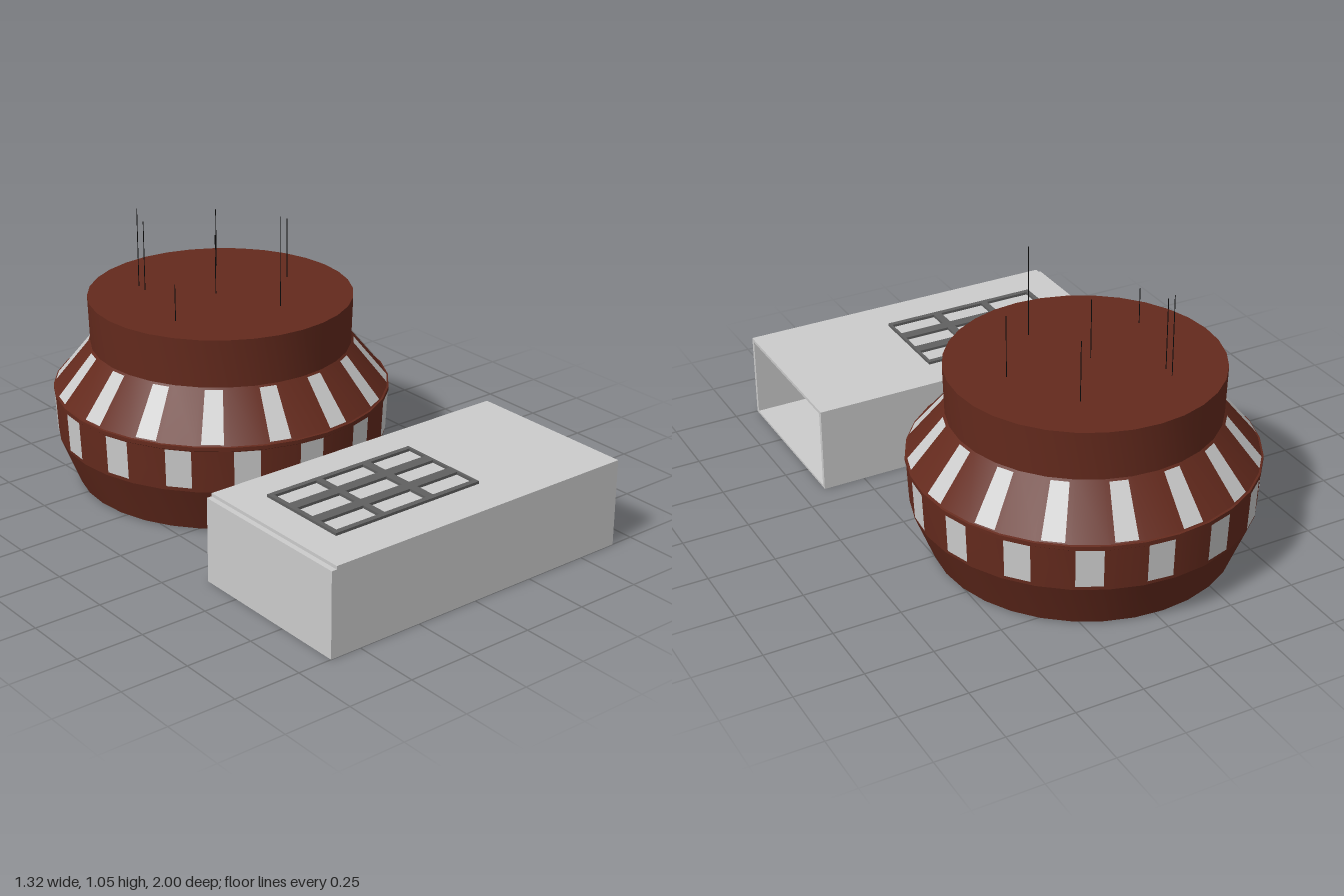
import * as THREE from 'three';
import { toCreasedNormals } from 'three/addons/utils/BufferGeometryUtils.js';

const grey = new THREE.MeshStandardMaterial({ color: 0xcccccc });
const pane = new THREE.MeshStandardMaterial({ color: 0xcccccc, side: THREE.DoubleSide });
const brown = new THREE.MeshStandardMaterial({ color: 0x642a1d });
const dark = new THREE.MeshStandardMaterial({ color: 0x606060 });
const black = new THREE.MeshStandardMaterial({ color: 0x0a0a0a });

const CX = -0.03, CZ = -0.375, SIDES = 32;

function add(parent, name, geometry, material, x = 0, y = 0, z = 0) {
  const mesh = new THREE.Mesh(geometry, material);
  mesh.name = name;
  mesh.position.set(x, y, z);
  parent.add(mesh);
  return mesh;
}

// Box given by its limits on each axis
function block(parent, name, material, [x0, x1], [y0, y1], [z0, z1]) {
  add(parent, name, new THREE.BoxGeometry(x1 - x0, y1 - y0, z1 - z0), material,
    (x0 + x1) / 2, (y0 + y1) / 2, (z0 + z1) / 2);
}

const points = (list) => list.map(([r, y]) => new THREE.Vector2(r, y));

// Ring of 16 flat panes, each lying on one facet of the round hall
function windowRing(parent, name, profile, width, phase) {
  const step = (Math.PI * 2) / 16;
  for (let i = 0; i < 16; i++) {
    const mid = phase + i * step;
    const g = new THREE.LatheGeometry(points(profile), 1, mid - width / 2, width);
    add(parent, name, toCreasedNormals(g, 0.05), pane);
  }
}

function rect(path, x0, x1, y0, y1) {
  path.moveTo(x0, y0);
  path.lineTo(x1, y0);
  path.lineTo(x1, y1);
  path.lineTo(x0, y1);
  path.closePath();
  return path;
}

function roundHall() {
  const hall = new THREE.Group();
  hall.name = 'roundHall';
  hall.position.set(CX, 0, CZ);

  // Bowl, rim, sloping roof and drum in one profile
  const body = new THREE.LatheGeometry(points([
    [0, 0.008], [0.545, 0.008], [0.615, 0.185], [0.623, 0.345], [0.627, 0.348],
    [0.627, 0.362], [0.62, 0.364], [0.485, 0.53], [0.491, 0.71], [0, 0.71],
  ]), SIDES);
  add(hall, 'hallBody', toCreasedNormals(body, 0.3), brown);

  const facet = Math.PI / SIDES;
  windowRing(hall, 'roofWindow', [[0.619, 0.37], [0.493, 0.525]], 0.129, facet);
  windowRing(hall, 'wallWindow', [[0.618, 0.2], [0.625, 0.345]], 0.152, -facet);

  // Thin masts on the flat roof: x, z, top
  const masts = [
    [-0.335, -0.23, 0.847], [-0.24, -0.56, 0.976], [-0.233, -0.61, 1.012], [-0.055, -0.37, 0.935],
    [0.051, -0.12, 1.05], [0.127, -0.615, 0.935], [0.262, -0.35, 0.94],
  ];
  for (const [x, z, top] of masts) {
    const h = top - 0.7;
    add(hall, 'mast', new THREE.CylinderGeometry(0.0015, 0.0015, h, 6), black, x - CX, 0.7 + h / 2, z - CZ);
  }
  return hall;
}

function annex() {
  const wing = new THREE.Group();
  wing.name = 'annex';
  const X = [-0.6, 0.66];

  // Shell, open at the left end
  block(wing, 'floor', grey, X, [0.003, 0.012], [0.34, 1]);
  block(wing, 'roof', grey, X, [0.318, 0.33], [0.34, 1]);
  block(wing, 'frontWall', grey, X, [0.012, 0.318], [0.984, 1]);
  block(wing, 'backWall', grey, X, [0.012, 0.318], [0.34, 0.356]);
  block(wing, 'endWall', grey, [-0.62, -0.6], [0.003, 0.318], [0.34, 1]);

  // Dark skirting inside
  block(wing, 'backSkirting', dark, [-0.6, 0.655], [0.012, 0.03], [0.356, 0.362]);
  block(wing, 'endSkirting', dark, [-0.6, -0.594], [0.012, 0.03], [0.362, 0.984]);

  // Skylight grid, 3 x 3 panes, set through the roof
  const grid = rect(new THREE.Shape(), -0.472, 0.152, -0.84, -0.478);
  for (const x of [-0.455, -0.25, -0.038]) {
    for (const z of [0.497, 0.619, 0.741]) {
      grid.holes.push(rect(new THREE.Path(), x, x + 0.18, -z - 0.079, -z));
    }
  }
  const frame = new THREE.ExtrudeGeometry(grid, { depth: 0.03, bevelEnabled: false });
  frame.rotateX(-Math.PI / 2);
  add(wing, 'skylightFrame', frame, dark, 0, 0.31, 0);

  // Passage to the round hall
  block(wing, 'passage', grey, [-0.197, 0.112], [0.003, 0.14], [0.12, 0.38]);
  return wing;
}

export function createModel() {
  const model = new THREE.Group();
  model.name = 'roundHallWithAnnex';
  model.add(roundHall(), annex());
  // Rest on the ground
  for (const part of model.children) part.position.y -= 0.003;
  return model;
}
